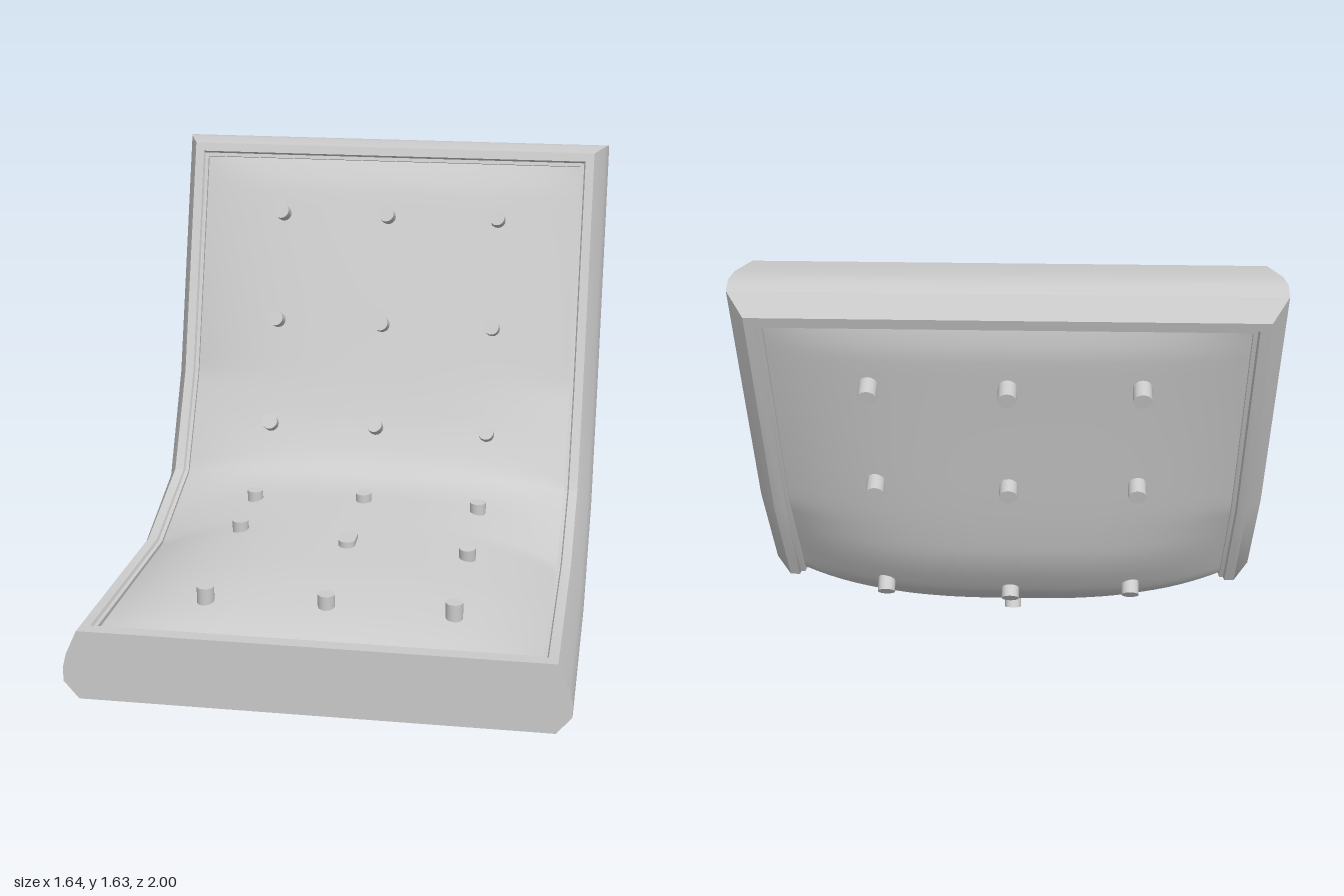
import * as THREE from 'three';
import { toCreasedNormals } from 'three/addons/utils/BufferGeometryUtils.js';

// Side profile stations [z, y]: upper and lower edge of the frame, front to top
const TOP = [[1, 0.36], [0.12, 0.32], [-0.29, 0.44], [-0.49, 0.775], [-0.77, 1.62]];
const BOT = [[1, 0.12], [0.09, 0.075], [-0.5, 0.283], [-0.725, 0.706], [-1, 1.545]];
const lerp = THREE.MathUtils.lerp;

function along(list, s) {
  const i = Math.min(3, Math.max(0, Math.floor(s)));
  return [0, 1].map(k => lerp(list[i][k], list[i + 1][k], s - i));
}

// Point of the bent slab: s runs along the seat and back, t from upper to lower side
function slab(x, s, t) {
  const a = along(TOP, s), b = along(BOT, s);
  return [x, lerp(a[1], b[1], t), lerp(a[0], b[0], t)];
}

// Grid surface from fn(i, j), optionally closed in both directions
function grid(ni, nj, fn, closed) {
  const pos = [], idx = [];
  for (let i = 0; i < ni; i++) for (let j = 0; j < nj; j++) pos.push(...fn(i, j));
  const ei = closed ? ni : ni - 1, ej = closed ? nj : nj - 1;
  for (let i = 0; i < ei; i++) for (let j = 0; j < ej; j++) {
    const i2 = (i + 1) % ni, j2 = (j + 1) % nj;
    const a = i * nj + j, b = i * nj + j2, c = i2 * nj + j2, d = i2 * nj + j;
    idx.push(a, b, d, b, c, d);
  }
  const g = new THREE.BufferGeometry();
  g.setAttribute('position', new THREE.Float32BufferAttribute(pos, 3));
  g.setIndex(idx);
  g.computeVertexNormals();
  return g;
}

// Frame cross-section [outward offset, t], swept round the rim with mitred corners
const RING = [[0, 0.14], [0, 0.04], [0.013, 0.04], [0.018, 0], [0.05, 0], [0.088, 0.35], [0.1, 0.55],
  [0.1, 0.75], [0.05, 1], [0.018, 1], [0.013, 0.96], [0, 0.96], [0, 0.86]];
const INNER = 0.72;

function frameGeometry() {
  const fn = (i, j) => {
    const [o, t] = RING[j];
    const side = i < 5 ? 1 : -1, k = i < 5 ? i : 9 - i;
    let s = k;
    if (k === 0) s = Math.max(0, (0.05 - o) * 1.5 / 0.88);
    if (k === 4) s = 4 + (o - 0.05) / 0.89;
    return slab(side * (INNER + o), s, t);
  };
  return toCreasedNormals(grid(10, RING.length, fn, true), 0.5);
}

// Centre lines of the padding [s, z, y]
const PAD_TOP = [[0.08, 0.93, 0.345], [0.4, 0.64, 0.41], [0.9, 0.2, 0.435], [1.7, -0.18, 0.455],
  [2, -0.27, 0.495], [2.4, -0.36, 0.63], [3, -0.435, 0.79], [3.5, -0.6, 1.2], [3.95, -0.75, 1.56]];
const PAD_BOT = [[0.08, 0.93, 0.115], [0.4, 0.62, 0.065], [1, 0.08, 0.03], [1.5, -0.27, 0.042],
  [2, -0.59, 0.25], [2.5, -0.75, 0.5], [3, -0.81, 0.72], [3.5, -0.895, 1.11], [3.95, -0.985, 1.5]];
const S0 = 0.083, S1 = 3.944;

function tableAt(table, s) {
  let i = 0;
  while (i < table.length - 2 && s > table[i + 1][0]) i++;
  const a = table[i], b = table[i + 1], u = (s - a[0]) / (b[0] - a[0]);
  return [lerp(a[1], b[1], u), lerp(a[2], b[2], u)];
}

// Averages the table over a short window to round its bends
function smoothAt(table, s) {
  const w = Math.min(0.18, s - S0, S1 - s), out = [0, 0];
  for (let k = -4; k <= 4; k++) {
    const p = tableAt(table, s + w * k / 4);
    out[0] += p[0] / 9;
    out[1] += p[1] / 9;
  }
  return out;
}

// Domed padding surface on one side of the frame
function padGeometry(table, t, dir) {
  const ni = 60, nj = 33;
  return grid(ni, nj, (i, j) => {
    const s = lerp(S0, S1, i / (ni - 1));
    const u = dir * lerp(-1, 1, j / (nj - 1));
    const rim = slab(u * (INNER + 0.004), s, t);
    const c = smoothAt(table, s);
    const edge = Math.min(1, (s - S0) / 0.1, (S1 - s) / 0.1);
    const f = (1 - Math.abs(u) ** 3) * edge * (2 - edge);
    return [rim[0], lerp(rim[1], c[1], f), lerp(rim[2], c[0], f)];
  }, false);
}

export function createModel() {
  const group = new THREE.Group();
  const mat = new THREE.MeshStandardMaterial({ color: 0xcccccc, side: THREE.DoubleSide });
  const add = (geo, name) => {
    const m = new THREE.Mesh(geo, mat);
    m.name = name;
    group.add(m);
    return m;
  };

  add(frameGeometry(), 'frame');
  add(padGeometry(PAD_TOP, 0.1, 1), 'upperPadding');
  add(padGeometry(PAD_BOT, 0.9, -1), 'lowerPadding');

  // Buttons
  const buttonGeo = new THREE.CylinderGeometry(0.029, 0.029, 0.066, 16);
  const button = (x, y, z, tilt, name) => {
    const m = add(buttonGeo, name);
    m.position.set(x, y, z);
    m.rotation.x = tilt;
  };
  const COLS = [-0.405, 0, 0.42];

  // Rows of three: [z, y, tilt, outer dy, outer dz]
  const upperRows = [[0.74, 0.395, 0, 0, 0], [-0.055, 0.445, 0, -0.012, 0],
    [-0.335, 0.64, 1.05, -0.015, -0.02], [-0.485, 1.0, 1.2, 0, -0.008], [-0.64, 1.385, 1.2, 0, 0]];
  const lowerRows = [[0.74, 0.08, 0, 0, 0], [0.2, 0.045, 0, 0.008, 0], [-0.29, 0.042, 0.52, 0.055, 0.045],
    [-0.655, 0.345, 0.9, 0.01, 0.015], [-0.86, 0.875, 1.3, 0, 0.008], [-0.96, 1.28, 1.3, 0, 0.005]];
  const placeRows = (rows, name) => {
    for (const [z, y, tilt, dy, dz] of rows) {
      for (const x of COLS) button(x, y + (x ? dy : 0), z + (x ? dz : 0), tilt, name);
    }
  };
  placeRows(upperRows, 'upperButton');
  placeRows(lowerRows, 'lowerButton');
  button(-0.405, 0.415, 0.2, 0, 'upperButton');
  button(0.42, 0.412, 0.32, 0.1, 'upperButton');

  // Long button in the middle of the seat
  const slot = new THREE.Shape();
  slot.absarc(0, 0.028, 0.029, 0, Math.PI);
  slot.absarc(0, -0.028, 0.029, Math.PI, Math.PI * 2);
  const slotGeo = new THREE.ExtrudeGeometry(slot, { depth: 0.06, bevelEnabled: false, curveSegments: 8 });
  const long = add(slotGeo, 'longButton');
  long.rotation.x = -Math.PI / 2;
  long.position.set(0, 0.388, 0.295);

  return group;
}
